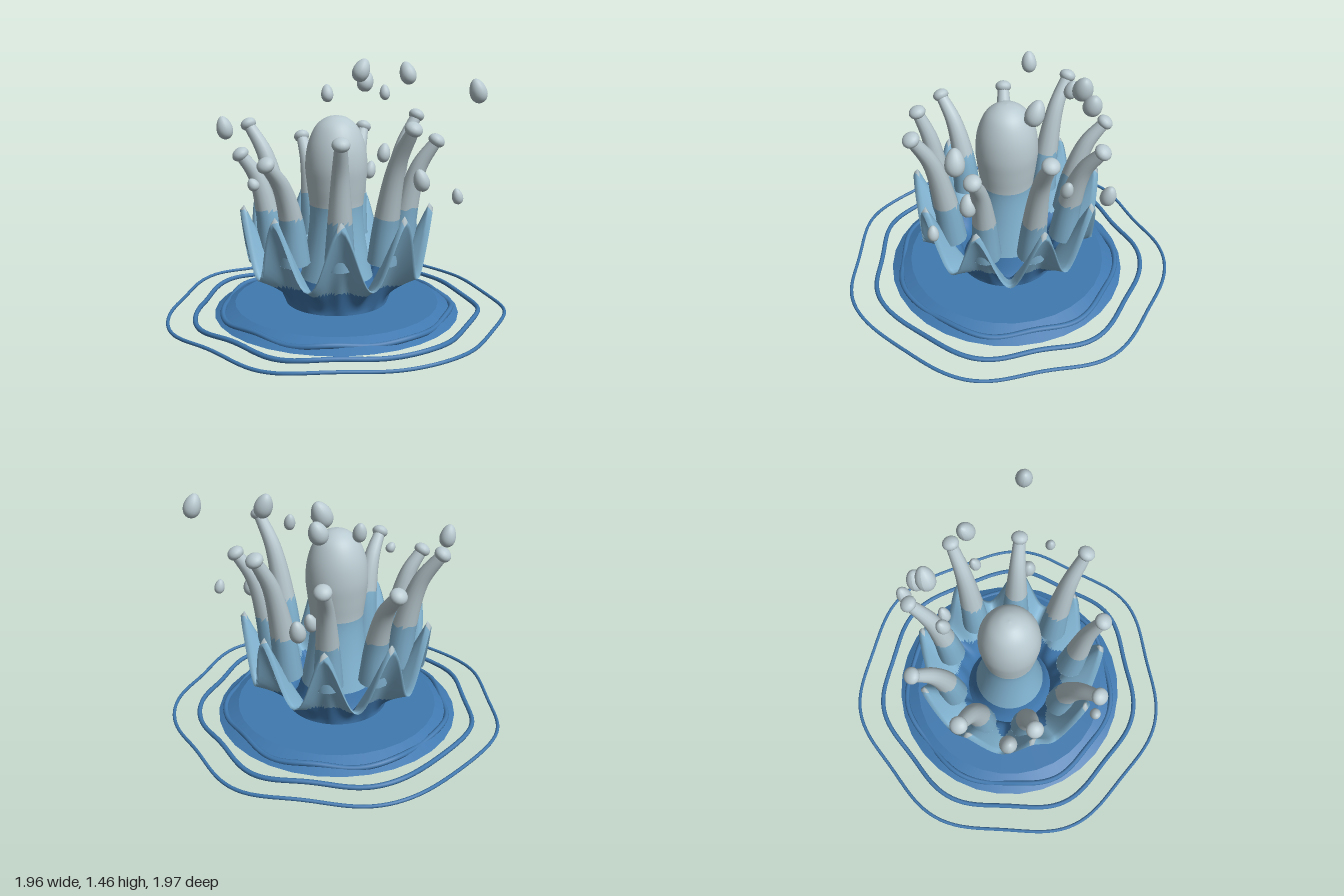
import * as THREE from 'three';

const colour = (name, hex) => {
  const m = new THREE.MeshStandardMaterial({ color: hex, side: THREE.DoubleSide });
  m.name = name;
  return m;
};

export function createModel() {
  const deep = colour('deepBlue', 0x4079b0);
  const mid = colour('lightBlue', 0x82b4d2);
  const pale = colour('paleFoam', 0xb9cad0);
  const model = new THREE.Group();
  model.name = 'waterSplash';

  const add = (name, geometry, material, parent = model) => {
    const mesh = new THREE.Mesh(geometry, material);
    mesh.name = name;
    parent.add(mesh);
    return mesh;
  };

  // Sort faces into three colour bands by height
  const addBanded = (name, geometry, parent = model) => {
    const p = geometry.attributes.position;
    const src = geometry.index.array;
    const bands = [[], [], []];
    for (let i = 0; i < src.length; i += 3) {
      const y = (p.getY(src[i]) + p.getY(src[i + 1]) + p.getY(src[i + 2])) / 3;
      bands[y < 0.22 ? 0 : y < 0.64 ? 1 : 2].push(src[i], src[i + 1], src[i + 2]);
    }
    geometry.setIndex(bands.flat());
    geometry.clearGroups();
    let start = 0;
    bands.forEach((b, i) => {
      geometry.addGroup(start, b.length, i);
      start += b.length;
    });
    return add(name, geometry, [deep, mid, pale], parent);
  };

  // Pool disc
  add('poolDisc', new THREE.CylinderGeometry(0.6, 0.72, 0.055, 32), deep).position.y = 0.0425;

  // Wavy ripple rings
  const ripple = (name, radius, wave, lobes, phase, tube, y) => {
    const points = [];
    for (let i = 0; i < 72; i++) {
      const a = (i / 72) * Math.PI * 2;
      const r = radius + wave * Math.cos(lobes * a + phase) + wave * 0.3 * Math.sin(3 * a);
      points.push(new THREE.Vector3(r * Math.cos(a), y + 0.008 * Math.sin(9 * a + phase), r * Math.sin(a)));
    }
    const path = new THREE.CatmullRomCurve3(points, true);
    add(name, new THREE.TubeGeometry(path, 144, tube, 8, true), deep);
  };
  ripple('innerRipple', 0.665, 0.014, 7, 0.6, 0.016, 0.04);
  ripple('middleRipple', 0.815, 0.022, 7, 0.5, 0.014, 0.03);
  ripple('outerRipple', 0.965, 0.024, 7, 0.4, 0.01, 0.03);

  // Crown wall: outer and inner skins swept round, with nine peaks
  const peaks = 9, around = peaks * 18, rows = 22;
  const ring = 2 * (rows + 1);
  const pos = [], idx = [];
  for (let i = 0; i < around; i++) {
    const a = (i / around) * Math.PI * 2;
    const s = Math.abs(Math.sin((a * peaks) / 2));
    const peak = 1 - Math.pow(s, 1.6);
    const rim = 0.52 + 0.04 * peak;
    const height = 0.2 + 0.4 * peak;
    const power = 1.9 - 0.85 * peak;
    for (let j = 0; j < ring; j++) {
      const inner = j > rows;
      const t = (inner ? ring - 1 - j : j) / rows;
      const r = 0.3 + (rim - 0.3) * Math.pow(t, power) - (inner ? 0.035 - 0.012 * t : 0);
      const y = 0.07 + t * (height - (inner ? 0 : 0.03 * peak));
      pos.push(r * Math.cos(a), y, r * Math.sin(a));
      if (j < ring - 1) {
        const p = i * ring + j, q = ((i + 1) % around) * ring + j;
        idx.push(p, p + 1, q, q, p + 1, q + 1);
      }
    }
  }
  const wall = new THREE.BufferGeometry();
  wall.setAttribute('position', new THREE.Float32BufferAttribute(pos, 3));
  wall.setIndex(idx);
  wall.computeVertexNormals();
  addBanded('crownWall', wall);

  // Central column with a rounded head
  const profile = new THREE.SplineCurve([
    [0.27, 0.07], [0.235, 0.14], [0.2, 0.28], [0.168, 0.46], [0.155, 0.62], [0.17, 0.76],
    [0.18, 0.88], [0.165, 1.0], [0.122, 1.1], [0.06, 1.152], [0, 1.165],
  ].map(([x, y]) => new THREE.Vector2(x, y)));
  const outline = profile.getPoints(50);
  outline.forEach((v) => { v.x = Math.max(0, v.x); });
  addBanded('centralColumn', new THREE.LatheGeometry(outline, 32));

  // Fingers: [tip radius, tip height], one at each peak
  const tips = [
    [0.57, 1.03], [0.59, 1.14], [0.51, 1.07], [0.6, 0.96], [0.55, 0.96],
    [0.6, 1.08], [0.58, 0.97], [0.58, 1.03], [0.58, 1.13],
  ];
  tips.forEach(([tipR, tipY], k) => {
    const finger = new THREE.Group();
    finger.name = 'finger' + (k + 1);
    finger.rotation.y = (-k / peaks) * Math.PI * 2;
    model.add(finger);
    const path = new THREE.CatmullRomCurve3([
      new THREE.Vector3(0.375, 0.38, 0),
      new THREE.Vector3(0.405, 0.62, 0),
      new THREE.Vector3(0.4 + (tipR - 0.4) * 0.42, 0.62 + (tipY - 0.62) * 0.62, 0),
      new THREE.Vector3(tipR, tipY, 0),
    ]);
    // Taper a unit tube towards the tip
    const steps = 30, sides = 14;
    const tube = new THREE.TubeGeometry(path, steps, 1, sides);
    const p = tube.attributes.position;
    const v = new THREE.Vector3();
    for (let i = 0; i <= steps; i++) {
      const t = i / steps;
      const c = path.getPointAt(t);
      const radius = 0.085 - 0.052 * Math.pow(t, 1.1);
      for (let j = 0; j <= sides; j++) {
        const n = i * (sides + 1) + j;
        v.fromBufferAttribute(p, n).sub(c).multiplyScalar(radius).add(c);
        p.setXYZ(n, v.x, v.y, v.z);
      }
    }
    addBanded('fingerStem', tube, finger);
    const foot = add('fingerFoot', new THREE.CircleGeometry(0.085, sides), mid, finger);
    foot.position.set(0.375, 0.38, 0);
    foot.quaternion.setFromUnitVectors(new THREE.Vector3(0, 0, 1), path.getTangentAt(0).negate());
    const bead = add('fingerBead', new THREE.SphereGeometry(0.049, 16, 12), pale, finger);
    bead.scale.y = 0.75;
    bead.position.set(tipR, tipY, 0);
    bead.quaternion.setFromUnitVectors(new THREE.Vector3(0, 1, 0), path.getTangentAt(1));
  });

  // Egg-shaped flying drops: x, y, z, half width, half height, tilt
  const egg = new THREE.SphereGeometry(1, 18, 14);
  const e = egg.attributes.position;
  for (let i = 0; i < e.count; i++) {
    const squeeze = 1 - 0.18 * e.getY(i);
    e.setXYZ(i, e.getX(i) * squeeze, e.getY(i), e.getZ(i) * squeeze);
  }
  egg.computeVertexNormals();
  [
    [0.79, 1.31, 0, 0.048, 0.07, 0.3], [0.69, 0.75, 0.18, 0.03, 0.045, 0.2],
    [0.49, 0.81, 0.06, 0.045, 0.066, 0.25], [0.39, 1.39, -0.27, 0.048, 0.07, 0.3],
    [0.26, 1.28, -0.21, 0.03, 0.046, 0.1], [-0.1, 1.26, -0.335, 0.037, 0.055, 0.1],
    [0.1, 1.395, -0.44, 0.053, 0.075, -0.35], [0.12, 1.32, -0.5, 0.05, 0.064, -0.3],
    [0.23, 0.85, -0.64, 0.042, 0.064, -0.1], [0.16, 0.78, -0.4, 0.036, 0.057, -0.2],
    [-0.64, 1.09, 0.06, 0.046, 0.068, 0.2], [-0.37, 0.855, 0.51, 0.03, 0.035, 0.5],
  ].forEach(([x, y, z, w, h, tilt], i) => {
    const drop = add('drop' + (i + 1), egg, pale);
    drop.position.set(x, y, z);
    drop.scale.set(w, h, w);
    drop.rotation.set(z < -0.2 ? -0.25 : 0.1, 0, tilt);
  });

  return model;
}
